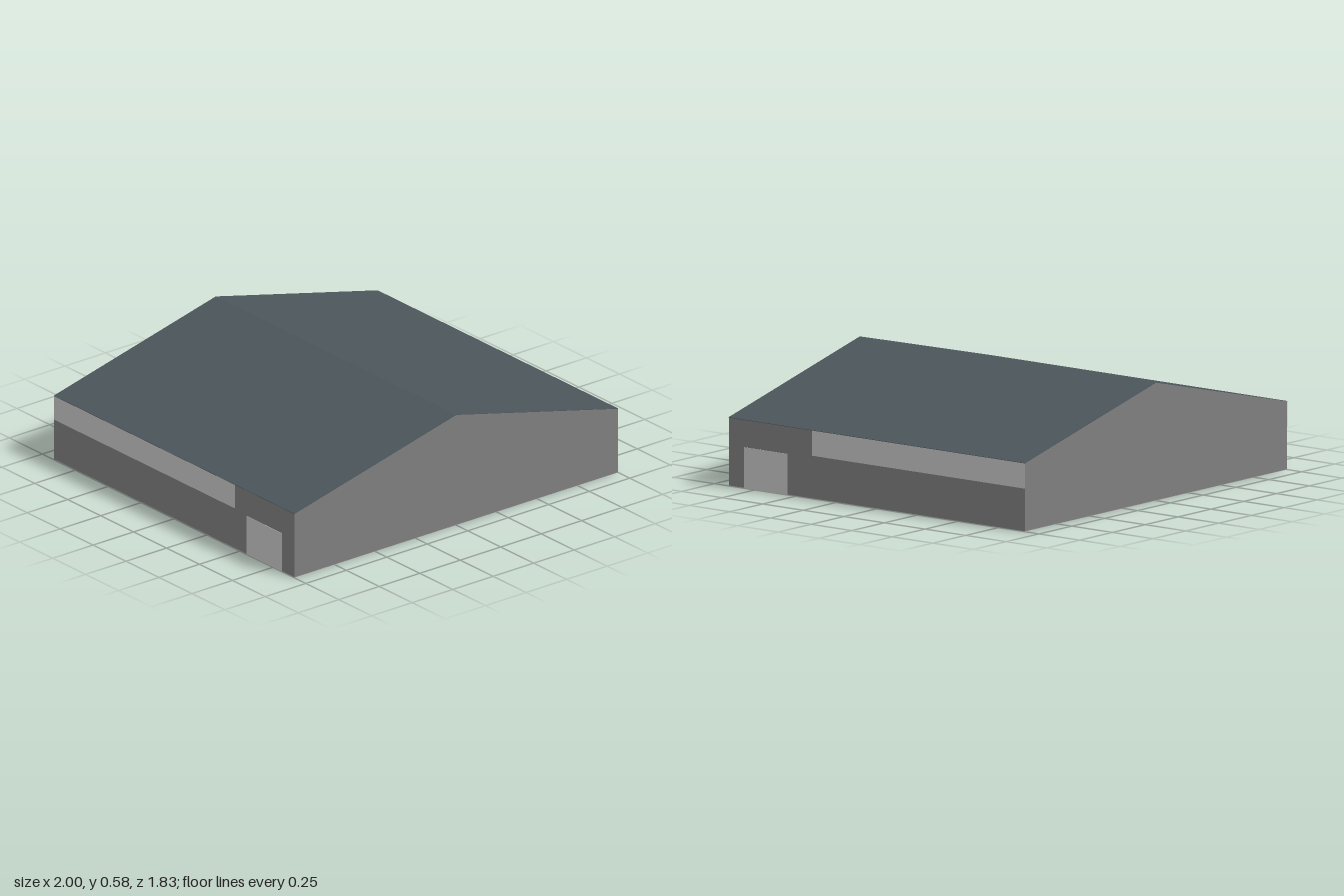
import * as THREE from 'three';

const W = 1, D = 0.913, EAVE = 0.335, RIDGE = 0.578, SKIN = 0.002;

function material(name, color) {
  const m = new THREE.MeshStandardMaterial({ color });
  m.name = name;
  return m;
}

// Extrudes a front-facing outline along the whole length of the hall
function extrudeAlongHall(points, mat, name) {
  const shape = new THREE.Shape(points.map(([x, y]) => new THREE.Vector2(x, y)));
  const geo = new THREE.ExtrudeGeometry(shape, { depth: 2 * D, bevelEnabled: false });
  geo.translate(0, 0, -D);
  const mesh = new THREE.Mesh(geo, mat);
  mesh.name = name;
  return mesh;
}

// Thin panel on a side wall, spanning z0..z1 and y0..y1
function sidePanel(side, z0, z1, y0, y1, mat, name) {
  const t = 2 * SKIN;
  const mesh = new THREE.Mesh(new THREE.BoxGeometry(t, y1 - y0, z1 - z0), mat);
  mesh.position.set(side * (W - t / 2), (y0 + y1) / 2, (z0 + z1) / 2);
  mesh.name = name;
  return mesh;
}

export function createModel() {
  const wallGrey = material('wall grey', 0x7f7f7f);
  const panelGrey = material('light panel grey', 0xc8c8c8);
  const floorGrey = material('floor grey', 0xb6b6b6);
  const roofSlate = material('roof slate', 0x4c565a);

  const hall = new THREE.Group();
  hall.name = 'gabledHall';

  // Walls and gables
  const w = W - SKIN;
  hall.add(extrudeAlongHall(
    [[-w, SKIN], [w, SKIN], [w, EAVE - SKIN], [0, RIDGE - SKIN], [-w, EAVE - SKIN]],
    wallGrey, 'hallBody'));

  // Floor slab
  hall.add(extrudeAlongHall([[-w, 0], [w, 0], [w, SKIN], [-w, SKIN]], floorGrey, 'floor'));

  for (const side of [1, -1]) {
    const name = side > 0 ? 'left' : 'right';
    // Roof sheet
    hall.add(extrudeAlongHall(
      [[0, RIDGE - SKIN], [side * W, EAVE - SKIN], [side * W, EAVE], [0, RIDGE]],
      roofSlate, name + 'RoofSheet'));
    // Clerestory band under the eave, a little longer on the right, and door near the front
    const bandEnd = side > 0 ? 0.4 : 0.455;
    hall.add(sidePanel(side, -D + 0.0005, bandEnd, 0.21, EAVE - SKIN, panelGrey, name + 'ClerestoryBand'));
    hall.add(sidePanel(side, 0.55, 0.818, 0, 0.2, panelGrey, name + 'Door'));
  }
  return hall;
}
